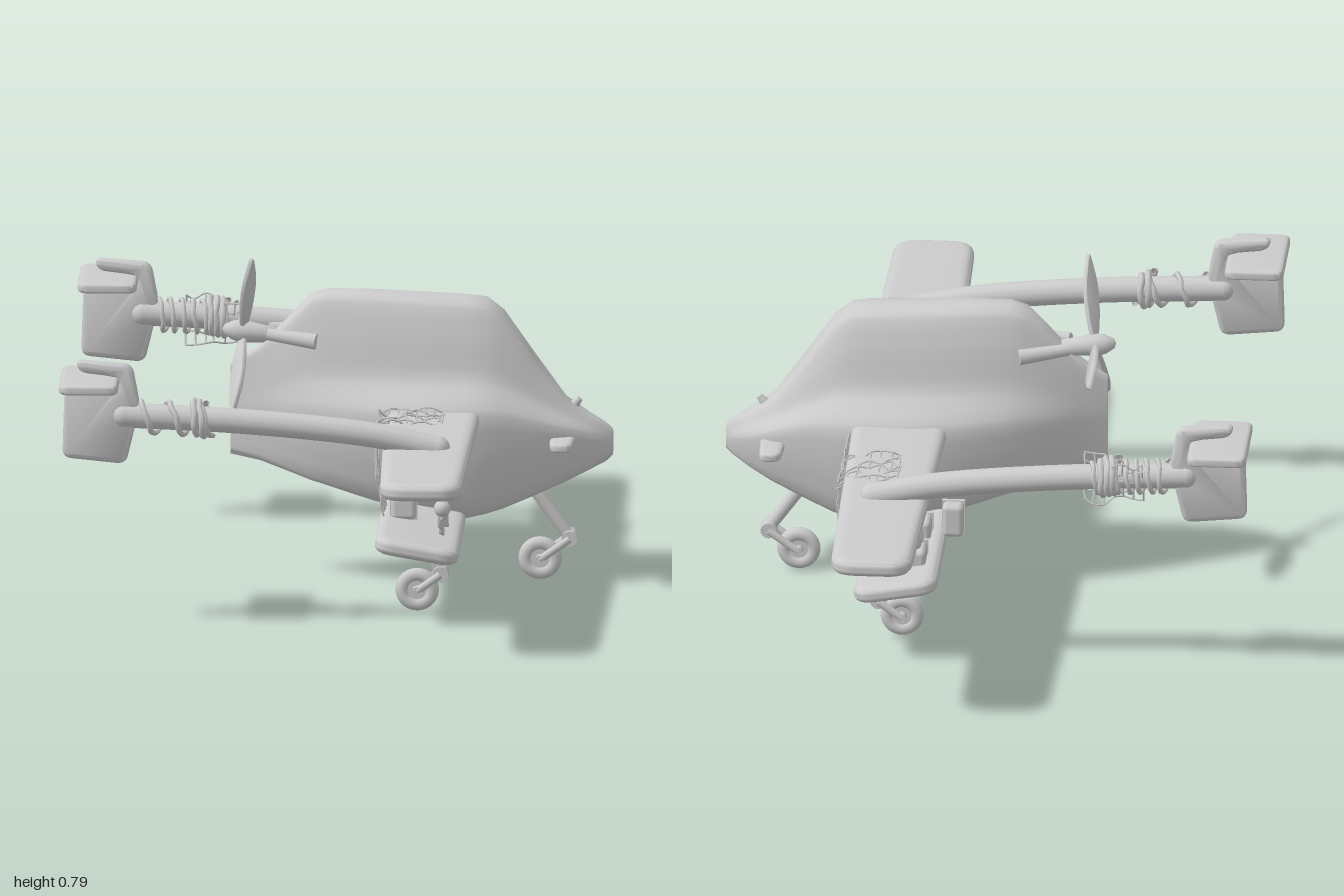
import * as THREE from 'three';
import { toCreasedNormals } from 'three/addons/utils/BufferGeometryUtils.js';
import { RoundedBoxGeometry } from 'three/addons/geometries/RoundedBoxGeometry.js';

const mat = new THREE.MeshStandardMaterial({ color: 0xcccccc, side: THREE.DoubleSide });
const V = (x, y, z) => new THREE.Vector3(x, y, z);
let seed = 7;
const jitter = (a) => ((seed = (seed * 16807) % 2147483647) / 2147483647 - 0.5) * a;

function add(parent, name, geo, x = 0, y = 0, z = 0) {
  const m = new THREE.Mesh(geo, mat);
  m.name = name;
  m.position.set(x, y, z);
  parent.add(m);
  return m;
}

// Plate with rounded corners and soft edges, drawn in the xy plane, centred in z
function slab(pts, thick, corner, edge) {
  const p = pts.map((a) => new THREE.Vector2(...a)), n = p.length, s = new THREE.Shape();
  p.forEach((c, i) => {
    const toward = (q) => c.clone().lerp(q, Math.min(0.5, corner / c.distanceTo(q)));
    const a = toward(p[(i + n - 1) % n]), b = toward(p[(i + 1) % n]);
    if (i) s.lineTo(a.x, a.y); else s.moveTo(a.x, a.y);
    s.quadraticCurveTo(c.x, c.y, b.x, b.y);
  });
  const flat = thick * 0.2;
  const g = new THREE.ExtrudeGeometry(s, { depth: flat, bevelThickness: (thick - flat) / 2,
    bevelSize: edge, bevelOffset: -edge, bevelSegments: 4, curveSegments: 6 });
  return toCreasedNormals(g.translate(0, 0, -flat / 2), 0.8);
}
const flatSlab = (...a) => slab(...a).rotateX(-Math.PI / 2);

function tube(parent, name, pts, r, sides = 8) {
  const curve = new THREE.CatmullRomCurve3(pts);
  return add(parent, name, new THREE.TubeGeometry(curve, pts.length * 4, r, sides));
}

// Straight round bar between two points
function bar(parent, name, a, b, r1, r2 = r1) {
  const d = b.clone().sub(a);
  const m = add(parent, name, new THREE.CylinderGeometry(r2, r1, d.length(), 14));
  m.position.copy(a).add(b).multiplyScalar(0.5);
  m.quaternion.setFromUnitVectors(V(0, 1, 0), d.normalize());
  return m;
}

// Rope mesh over the surface f(u, v)
function net(parent, name, f, nu, nv, wobble = 0.012, r = 0.0022) {
  const g = new THREE.Group();
  g.name = name;
  parent.add(g);
  const grid = [];
  for (let i = 0; i <= nu; i++) {
    grid.push([]);
    for (let j = 0; j <= nv; j++)
      grid[i].push(f(i / nu, j / nv).add(V(jitter(wobble) * 0.5, jitter(wobble), jitter(wobble))));
  }
  grid.forEach((line) => tube(g, 'netCord', line, r, 4));
  for (let j = 0; j <= nv; j++) tube(g, 'netCord', grid.map((l) => l[j]), r, 4);
}

function fuselageGeometry() {
  // x, bottom, shoulder height, top, half width, canopy half width, roof half width
  const stations = [
    [-0.26, 0.30, 0.43, 0.52, 0.008, 0.007, 0.005], [-0.19, 0.285, 0.44, 0.565, 0.04, 0.035, 0.02],
    [-0.13, 0.265, 0.445, 0.625, 0.076, 0.06, 0.032], [-0.07, 0.245, 0.45, 0.688, 0.105, 0.075, 0.04],
    [-0.03, 0.235, 0.45, 0.70, 0.122, 0.085, 0.044], [0.08, 0.205, 0.45, 0.698, 0.16, 0.1, 0.052],
    [0.2, 0.182, 0.45, 0.692, 0.18, 0.107, 0.057], [0.3, 0.166, 0.45, 0.687, 0.173, 0.105, 0.056],
    [0.345, 0.175, 0.447, 0.682, 0.163, 0.102, 0.053], [0.385, 0.186, 0.443, 0.65, 0.15, 0.096, 0.05],
    [0.45, 0.21, 0.428, 0.555, 0.125, 0.08, 0.045], [0.53, 0.243, 0.402, 0.442, 0.098, 0.06, 0.035],
    [0.585, 0.268, 0.38, 0.405, 0.066, 0.042, 0.022], [0.625, 0.289, 0.362, 0.382, 0.033, 0.022, 0.012],
    [0.642, 0.305, 0.35, 0.368, 0.012, 0.008, 0.004]];
  const N = 48, pos = [], idx = [];
  for (const [x, yb, ys, yt, w, c, t] of stations) {
    const h = yt - ys;
    const half = [[0.75 * w, yb + 0.012], [0.96 * w, yb + (ys - yb) * 0.5], [w, ys - 0.015],
      [c, ys + h * 0.22], [0.8 * c, ys + h * 0.6], [t, yt - h * 0.06]];
    const ring = [[0, yb], ...half, [0, yt], ...half.map(([z, y]) => [-z, y]).reverse()];
    const curve = new THREE.CatmullRomCurve3(ring.map(([z, y]) => V(x, y, z)), true, 'catmullrom', 0.25);
    for (let j = 0; j < N; j++) pos.push(...curve.getPoint(j / N).toArray());
  }
  const last = stations.length - 1;
  for (let i = 0; i < last; i++)
    for (let j = 0; j < N; j++) {
      const k = (j + 1) % N, a = i * N + j, b = a + N, c = (i + 1) * N + k, d = i * N + k;
      idx.push(a, b, c, a, c, d);
    }
  // End caps
  for (const i of [0, last]) {
    const s = stations[i], m = pos.length / 3;
    pos.push(s[0], (s[1] + s[3]) / 2, 0);
    for (let j = 0; j < N; j++) {
      const a = i * N + j, b = i * N + (j + 1) % N;
      idx.push(m, ...(i ? [b, a] : [a, b]));
    }
  }
  const g = new THREE.BufferGeometry();
  g.setAttribute('position', new THREE.Float32BufferAttribute(pos, 3));
  g.setIndex(idx);
  return toCreasedNormals(g, 0.7);
}

function landingGear(parent, name, top, knee, hub) {
  const g = new THREE.Group();
  g.name = name;
  parent.add(g);
  bar(g, 'strut', top, knee, 0.016, 0.014);
  add(g, 'knee', new THREE.CylinderGeometry(0.019, 0.019, 0.05, 14).rotateX(Math.PI / 2), knee.x, knee.y, knee.z);
  for (const s of [-1, 1])
    bar(g, 'fork', V(knee.x, knee.y, knee.z + s * 0.024), V(hub.x, hub.y, hub.z + s * 0.024), 0.009);
  add(g, 'tyre', new THREE.TorusGeometry(0.035, 0.0165, 12, 28), hub.x, hub.y, hub.z);
  add(g, 'wheelDisc', new THREE.CylinderGeometry(0.03, 0.03, 0.02, 20).rotateX(Math.PI / 2), hub.x, hub.y, hub.z);
  add(g, 'axle', new THREE.CylinderGeometry(0.011, 0.011, 0.062, 12).rotateX(Math.PI / 2), hub.x, hub.y, hub.z);
}

export function createModel() {
  const root = new THREE.Group();
  add(root, 'fuselage', fuselageGeometry());

  // Wings
  add(root, 'upperWing', flatSlab([[0.105, 0], [0.13, 1], [0.32, 1], [0.335, 0], [0.32, -1], [0.13, -1]],
    0.042, 0.06, 0.025), 0, 0.418, 0);
  add(root, 'lowerWing', flatSlab([[-0.1, 0.585], [0.1, 0.585], [0.1, -0.585], [-0.1, -0.585]],
    0.04, 0.05, 0.024), 0.2, 0.187, 0).rotation.z = -0.17;
  add(root, 'canard', flatSlab([[0.5, 0.18], [0.55, 0.185], [0.56, 0], [0.55, -0.185], [0.5, -0.18], [0.49, 0]],
    0.022, 0.02, 0.011), 0, 0.355, 0);
  bar(root, 'noseProbe', V(0.535, 0.405, 0), V(0.564, 0.44, 0), 0.018, 0.007);

  // Tail booms with fins and tailplanes
  for (const z of [0.567, -0.583]) {
    const boom = new THREE.Group();
    boom.name = 'tailBoom';
    boom.position.z = z;
    root.add(boom);
    const path = [V(-0.49, 0.512, 0), V(-0.2, 0.498, 0), V(0.1, 0.468, 0), V(0.25, 0.437, 0)];
    tube(boom, 'boomTube', path, 0.03, 16);
    for (const p of [path[0], path[3]]) add(boom, 'boomEnd', new THREE.SphereGeometry(0.03, 16, 12), p.x, p.y, 0);
    add(boom, 'fin', slab([[-0.635, 0.41], [-0.485, 0.395], [-0.46, 0.5], [-0.452, 0.54], [-0.47, 0.635],
      [-0.605, 0.645], [-0.595, 0.615], [-0.51, 0.605], [-0.5, 0.58], [-0.63, 0.575]], 0.034, 0.022, 0.01));
    add(boom, 'tailplane', flatSlab([[-0.64, 0.123], [-0.5, 0.123], [-0.5, -0.123], [-0.64, -0.123]],
      0.024, 0.025, 0.012), 0, 0.594, 0);
  }

  // Propeller
  const prop = new THREE.Group();
  prop.name = 'propeller';
  prop.position.set(-0.23, 0.595, 0);
  prop.rotation.z = -0.12;
  root.add(prop);
  const spinner = [[0.001, 0.05], [0.012, 0.045], [0.023, 0.025], [0.027, 0], [0.023, -0.03], [0.018, -0.09], [0.001, -0.09]];
  add(prop, 'spinner', new THREE.LatheGeometry(spinner.map((p) => new THREE.Vector2(...p)), 20).rotateZ(Math.PI / 2));
  for (const a of [0.43, -1.68, 2.5]) {
    const blade = slab([[-0.008, 0], [-0.024, 0.07], [-0.027, 0.14], [-0.004, 0.216], [0.004, 0.216],
      [0.027, 0.14], [0.024, 0.07], [0.008, 0]], 0.012, 0.03, 0.004);
    add(prop, 'blade', blade.rotateY(1.05)).rotation.x = a;
  }
  for (const s of [-1, 1]) bar(root, 'exhaustPipe', V(-0.17, 0.595, s * 0.035), V(-0.055, 0.585, s * 0.068), 0.014, 0.019);

  // Landing gear
  landingGear(root, 'noseGear', V(0.455, 0.225, 0), V(0.54, 0.105, 0), V(0.47, 0.055, 0));
  for (const z of [0.39, -0.4])
    landingGear(root, 'mainGear', V(0.215, 0.18, z), V(0.25, 0.1, z), V(0.195, 0.06, z));

  // Luggage on the lower wing
  const bags = [[0.16, 0.238, 0.285, 0.06, 0.055, 0.075], [0.19, 0.226, -0.425, 0.11, 0.05, 0.1],
    [0.19, 0.27, -0.43, 0.09, 0.035, 0.08], [0.18, 0.23, -0.275, 0.09, 0.06, 0.08], [0.085, 0.25, -0.26, 0.05, 0.08, 0.05]];
  for (const [x, y, z, w, h, d] of bags) {
    add(root, 'suitcase', new RoundedBoxGeometry(w, h, d, 3, 0.012), x, y, z);
    add(root, 'suitcaseStrap', new THREE.BoxGeometry(w + 0.004, h + 0.004, 0.01), x, y, z + d * 0.25);
  }

  // Cargo nets: hanging panels and the pieces draped over the wing
  net(root, 'frontNet', (u, v) => V(0.338 - 0.05 * v + 0.02 * Math.sin(v * 3.1), 0.43 - 0.235 * v, -0.19 - 0.31 * u), 11, 9);
  net(root, 'frontNetDrape', (u, v) => V(0.2 + 0.14 * v, 0.442 - 0.02 * v ** 4, -0.34 - 0.16 * u), 7, 6, 0.02);
  net(root, 'rearNet', (u, v) => V(0.1 - 0.012 * Math.sin(v * 3.1) + 0.015 * v, 0.43 - 0.22 * v, 0.18 + 0.13 * u), 6, 9);
  net(root, 'rearNetDrape', (u, v) => V(0.1 + 0.15 * v, 0.442, 0.17 + 0.135 * u), 6, 7, 0.02);

  // Pennant line with a hanging ball
  const line = new THREE.CatmullRomCurve3([V(0.26, 0.405, 0.65), V(0.26, 0.335, 0.57), V(0.255, 0.29, 0.45),
    V(0.255, 0.285, 0.33), V(0.25, 0.36, 0.19)]);
  add(root, 'pennantLine', new THREE.TubeGeometry(line, 30, 0.0025, 5));
  for (let i = 0; i < 8; i++) {
    const p = line.getPoint(0.34 + i * 0.075), h = 0.06 + (i % 3) * 0.015;
    const flag = slab([[-0.016, 0], [0.016, 0], [0.012, -h], [-0.008, -h * 0.9]], 0.006, 0.004, 0.001);
    const m = add(root, 'pennant', flag, p.x, p.y, p.z);
    m.rotation.set(0, Math.PI / 2 + jitter(0.8), jitter(0.5));
  }
  tube(root, 'ballCord', [V(0.26, 0.33, 0.56), V(0.26, 0.3, 0.545)], 0.0025, 5);
  add(root, 'ball', new THREE.SphereGeometry(0.02, 16, 12), 0.26, 0.288, 0.545);
  tube(root, 'hangingRope', [V(0.262, 0.41, 0.31), V(0.268, 0.33, 0.32), V(0.25, 0.22, 0.3)], 0.005, 6);

  // Rope lashings on the booms
  const coil = (z, x0, x1, turns, r, thick) => {
    const pts = [];
    for (let i = 0; i <= turns * 10; i++) {
      const t = i / (turns * 10), a = t * turns * Math.PI * 2;
      pts.push(V(x0 + (x1 - x0) * t + jitter(0.006), 0.509 - t * 0.008 + r * Math.cos(a), z + r * Math.sin(a)));
    }
    tube(root, 'boomRope', pts, thick, 6);
  };
  coil(0.567, -0.45, -0.28, 2.5, 0.037, 0.007);
  coil(0.567, -0.325, -0.295, 2, 0.04, 0.008);
  coil(-0.583, -0.45, -0.27, 7, 0.038, 0.006);
  coil(-0.583, -0.33, -0.29, 3, 0.043, 0.008);
  net(root, 'boomNet', (u, v) => V(-0.39 + 0.14 * u, 0.545 - 0.1 * v, -0.583 + 0.037 * Math.cos(v * 2) * (u > 0.5 ? 1 : -1)), 6, 5, 0.015);
  return root;
}
